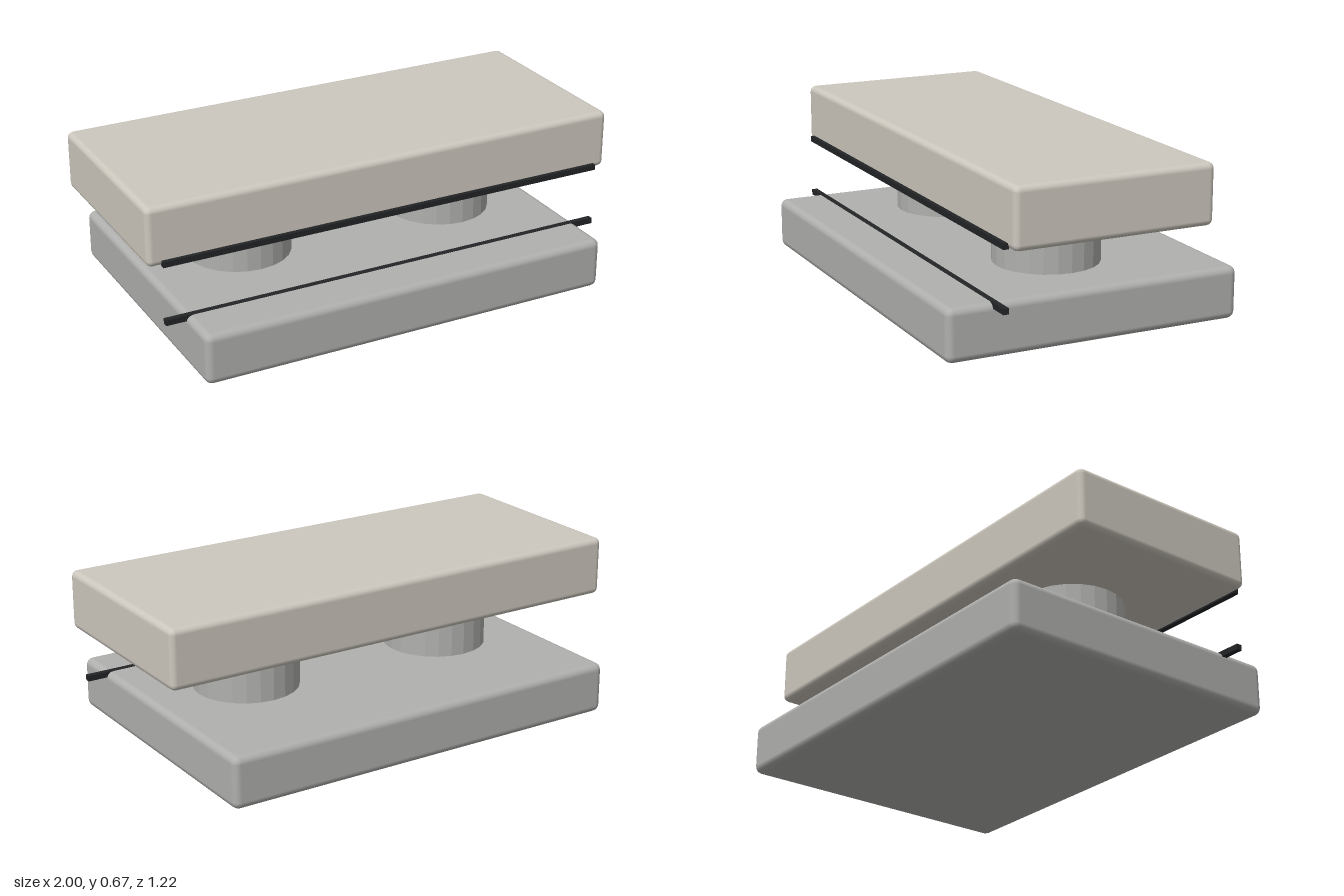
import * as THREE from 'three';
import { RoundedBoxGeometry } from 'three/addons/geometries/RoundedBoxGeometry.js';

export function createModel() {
  const model = new THREE.Group();
  const warm = new THREE.MeshStandardMaterial({ color: 0xcdc8be });
  const grey = new THREE.MeshStandardMaterial({ color: 0xb0b0ae });
  const greyFlat = new THREE.MeshStandardMaterial({ color: 0xb0b0ae, flatShading: true });
  const dark = new THREE.MeshStandardMaterial({ color: 0x222426 });

  const add = (name, geometry, material, x, y, z) => {
    const mesh = new THREE.Mesh(geometry, material);
    mesh.name = name;
    mesh.position.set(x, y, z);
    model.add(mesh);
  };

  // Two slabs with softly rounded edges
  add('baseSlab', new RoundedBoxGeometry(1.73, 0.21, 1.22, 2, 0.03), grey, 0, 0.108, 0);
  add('topSlab', new RoundedBoxGeometry(2, 0.24, 0.82, 2, 0.025), warm, 0, 0.55, 0);

  // Pair of faceted columns between the slabs
  for (const side of [-1, 1]) {
    add(side > 0 ? 'leftColumn' : 'rightColumn',
      new THREE.CylinderGeometry(0.212, 0.212, 0.27, 24), greyFlat, side * 0.455, 0.325, 0);
  }

  // Thin dark strips: one along the top slab's front edge, one sunk into the base
  const strip = new THREE.BoxGeometry(1.89, 0.023, 0.023);
  add('upperStrip', strip, dark, 0, 0.443, 0.416);
  add('lowerStrip', strip, dark, 0, 0.203, 0.416);

  return model;
}
